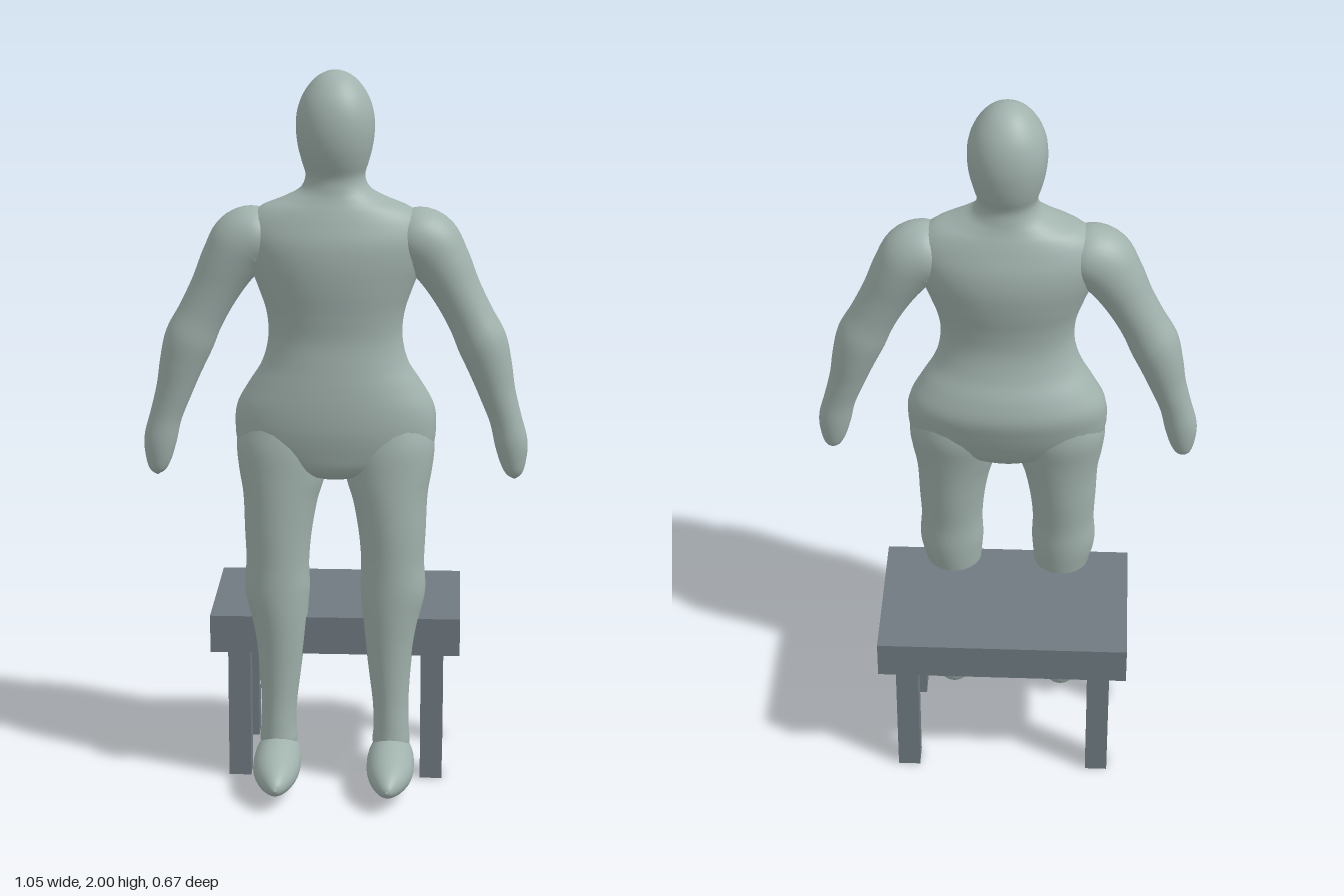
import * as THREE from 'three';

const skin = new THREE.MeshStandardMaterial({ color: 0xa1b2ad });
skin.name = 'pale grey green';
const slate = new THREE.MeshStandardMaterial({ color: 0x6f7a80 });
slate.name = 'slate grey';

// Smooth closed skin through sections [x, y, z, radiusU, radiusV]; v is the fixed ring axis.
function loft(name, sections, v, power = 2) {
  const sides = 36, steps = (sections.length - 1) * 5;
  const path = new THREE.CatmullRomCurve3(sections.map(s => new THREE.Vector3(s[0], s[1], s[2])), false, 'catmullrom', 0.5);
  const radii = new THREE.CatmullRomCurve3(sections.map(s => new THREE.Vector3(s[3], s[4], 0)), false, 'catmullrom', 0.5);
  const bend = c => Math.sign(c) * Math.abs(c) ** (2 / power);
  const pos = [], index = [];
  for (let i = 0; i <= steps; i++) {
    const t = i / steps, c = path.getPoint(t), r = radii.getPoint(t);
    const u = v.clone().cross(path.getTangent(t)).normalize();
    for (let j = 0; j < sides; j++) {
      const a = j / sides * Math.PI * 2;
      const p = c.clone()
        .addScaledVector(u, Math.max(r.x, 0.001) * bend(Math.cos(a)))
        .addScaledVector(v, Math.max(r.y, 0.001) * bend(Math.sin(a)));
      pos.push(p.x, p.y, p.z);
      if (i < steps) {
        const k = (j + 1) % sides, n = i * sides, m = n + sides;
        index.push(n + j, n + k, m + j, n + k, m + k, m + j);
      }
    }
  }
  const g = new THREE.BufferGeometry();
  g.setAttribute('position', new THREE.Float32BufferAttribute(pos, 3));
  g.setIndex(index);
  g.computeVertexNormals();
  const mesh = new THREE.Mesh(g, skin);
  mesh.name = name;
  return mesh;
}

function box(name, w, h, d, x, y, z) {
  const mesh = new THREE.Mesh(new THREE.BoxGeometry(w, h, d), slate);
  mesh.name = name;
  mesh.position.set(x, y, z);
  return mesh;
}

export function createModel() {
  const model = new THREE.Group();
  model.name = 'standingFigureWithBench';
  const Y = new THREE.Vector3(0, 1, 0), Z = new THREE.Vector3(0, 0, 1);

  // Torso from crotch to neck: [y, z, half width, half depth]
  const torso = [
    [0.885, 0.05, 0.002, 0.002], [0.89, 0.05, 0.06, 0.06], [0.92, 0.05, 0.19, 0.095],
    [0.97, 0.045, 0.262, 0.115], [1.03, 0.04, 0.275, 0.131], [1.09, 0.035, 0.268, 0.139],
    [1.15, 0.04, 0.235, 0.132], [1.21, 0.05, 0.199, 0.117], [1.28, 0.055, 0.182, 0.107],
    [1.35, 0.056, 0.187, 0.113], [1.42, 0.054, 0.21, 0.125], [1.49, 0.052, 0.237, 0.132],
    [1.55, 0.052, 0.25, 0.128], [1.6, 0.052, 0.238, 0.113], [1.635, 0.052, 0.2, 0.1],
    [1.66, 0.052, 0.14, 0.09], [1.685, 0.052, 0.095, 0.083], [1.72, 0.053, 0.08, 0.08],
  ];
  // Head continues the same skin
  const head = [
    [1.76, 0.054, 0.09, 0.095], [1.8, 0.055, 0.1, 0.106], [1.845, 0.055, 0.105, 0.111],
    [1.89, 0.055, 0.102, 0.107], [1.93, 0.055, 0.089, 0.094], [1.963, 0.055, 0.068, 0.072],
    [1.985, 0.055, 0.045, 0.047], [1.997, 0.055, 0.02, 0.021], [2, 0.055, 0.001, 0.001],
  ];
  model.add(loft('torsoAndHead', [...torso, ...head].map(([y, ...r]) => [0, y, ...r]), Z, 2.1));

  // Limbs, mirrored left and right
  const arm = [
    [0.13, 1.555, 0.052, 0.03, 0.04], [0.19, 1.555, 0.052, 0.075, 0.08],
    [0.243, 1.54, 0.052, 0.089, 0.088], [0.285, 1.485, 0.052, 0.079, 0.083],
    [0.326, 1.41, 0.053, 0.067, 0.073], [0.365, 1.335, 0.054, 0.064, 0.068],
    [0.397, 1.268, 0.055, 0.068, 0.07], [0.42, 1.2, 0.055, 0.06, 0.063],
    [0.44, 1.13, 0.056, 0.05, 0.053], [0.464, 1.055, 0.057, 0.044, 0.045],
    [0.48, 0.99, 0.058, 0.045, 0.043], [0.486, 0.94, 0.058, 0.037, 0.036],
    [0.49, 0.902, 0.058, 0.023, 0.024], [0.491, 0.885, 0.058, 0.002, 0.002],
  ];
  const leg = [
    [0.14, 1.06, 0.04, 0.11, 0.1], [0.143, 0.98, 0.045, 0.128, 0.111],
    [0.146, 0.9, 0.054, 0.119, 0.106], [0.151, 0.83, 0.06, 0.103, 0.102],
    [0.157, 0.74, 0.065, 0.093, 0.097], [0.159, 0.65, 0.069, 0.087, 0.09],
    [0.16, 0.57, 0.07, 0.09, 0.088], [0.155, 0.5, 0.073, 0.08, 0.082],
    [0.152, 0.42, 0.078, 0.068, 0.071], [0.153, 0.33, 0.081, 0.058, 0.062],
    [0.156, 0.24, 0.083, 0.05, 0.057], [0.158, 0.17, 0.084, 0.049, 0.058],
    [0.158, 0.12, 0.08, 0.052, 0.062], [0.158, 0.08, 0.075, 0.04, 0.045],
  ];
  const foot = [
    [0.158, 0.075, -0.003, 0.002, 0.002], [0.158, 0.075, 0.008, 0.028, 0.03],
    [0.158, 0.076, 0.04, 0.052, 0.055], [0.158, 0.077, 0.09, 0.063, 0.065],
    [0.158, 0.077, 0.15, 0.066, 0.066], [0.158, 0.075, 0.21, 0.063, 0.059],
    [0.156, 0.073, 0.265, 0.05, 0.046], [0.154, 0.07, 0.305, 0.032, 0.031],
    [0.153, 0.067, 0.327, 0.016, 0.016], [0.152, 0.066, 0.335, 0.002, 0.002],
  ];
  for (const [side, s] of [['left', 1], ['right', -1]]) {
    const flip = sections => sections.map(([x, ...rest]) => [x * s, ...rest]);
    model.add(loft(side + 'Arm', flip(arm), Z));
    model.add(loft(side + 'Leg', flip(leg), Z));
    model.add(loft(side + 'Foot', flip(foot), Y));
  }

  // Bench behind the figure
  const bench = new THREE.Group();
  bench.name = 'bench';
  bench.add(box('benchSeat', 0.695, 0.107, 0.43, 0, 0.433, -0.12));
  for (const x of [-0.27, 0.27])
    for (const z of [0.03, -0.27]) bench.add(box('benchLeg', 0.062, 0.38, 0.064, x, 0.19, z));
  model.add(bench);
  return model;
}
